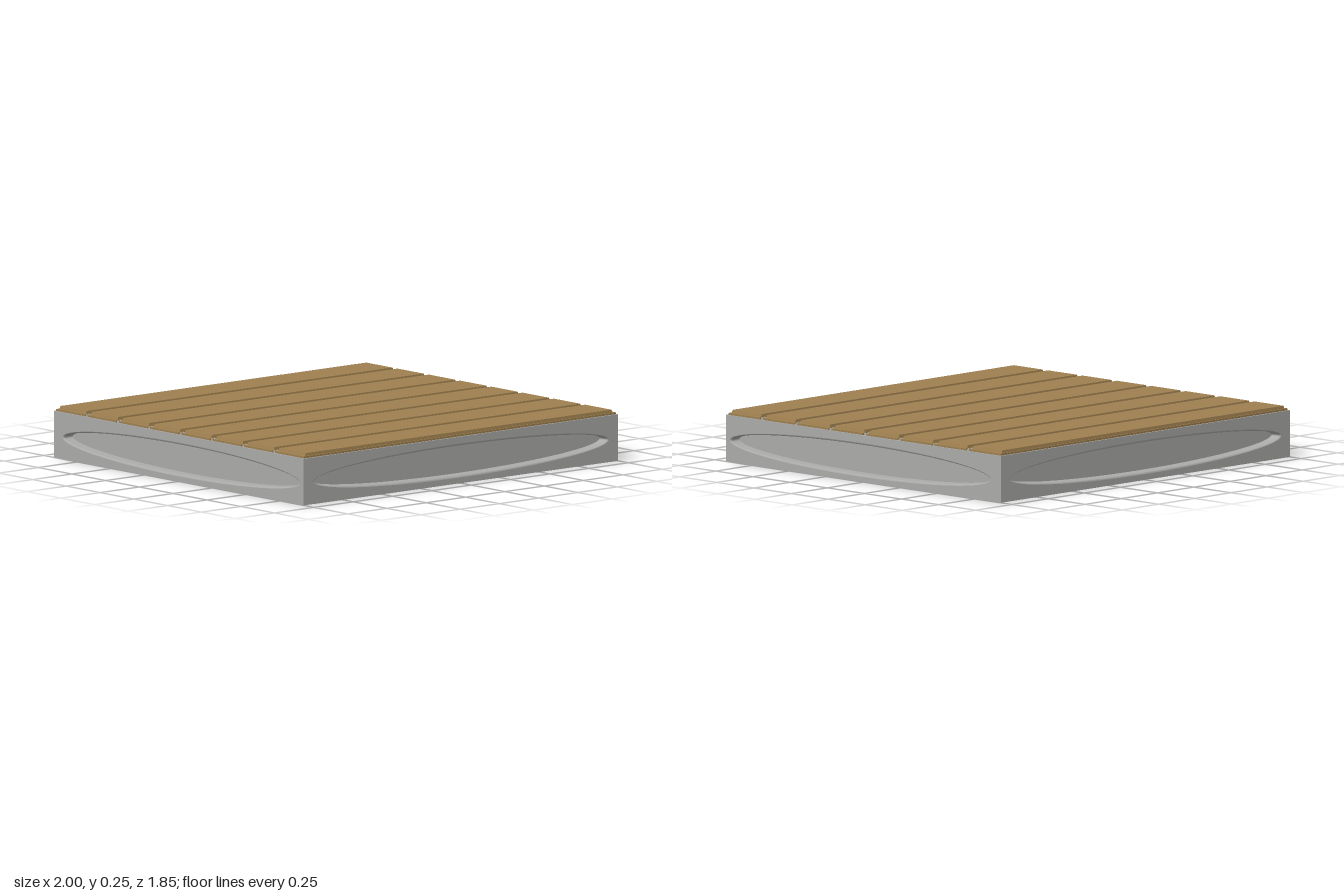
import * as THREE from 'three';
import { mergeGeometries } from 'three/addons/utils/BufferGeometryUtils.js';

const HALF_X = 1, HALF_Z = 0.925, WALL_TOP = 0.228, WALL = 0.015;
const PITCH = 0.2315, PLANKS = 8;
const RY = 0.083;                     // vertical radius of the ovals
// Recess profile from the wall face inwards: [inset, z]
const RECESS = [[0, 0], [0.005, -0.0015], [0.0085, -0.005], [0.01, -0.01], [0.012, -0.055]];

// Flat wall with an oval opening; its outer face lies on z = 0
function wallGeometry(half, cx, cy, rx) {
  const s = new THREE.Shape();
  s.moveTo(-half, 0);
  s.lineTo(half, 0);
  s.lineTo(half, WALL_TOP);
  s.lineTo(-half, WALL_TOP);
  s.closePath();
  const hole = new THREE.Path();
  hole.absellipse(cx, cy, rx, RY, 0, Math.PI * 2, true);
  s.holes.push(hole);
  const g = new THREE.ExtrudeGeometry(s, { depth: WALL, bevelEnabled: false, curveSegments: 48 });
  return g.translate(0, 0, -WALL);
}

// Oval recess with a rounded lip and a flat floor, sunk behind z = 0
function recessGeometry(cx, cy, rx) {
  const last = RECESS.length - 1;
  const rim = new THREE.CylinderGeometry(1, 1, 1, 96, last, true).rotateX(Math.PI / 2);
  const p = rim.attributes.position;
  for (let i = 0; i < p.count; i++) {
    const [inset, z] = RECESS[Math.round((0.5 - p.getZ(i)) * last)];
    p.setXYZ(i, p.getX(i) * (rx - inset), p.getY(i) * (RY - inset), z);
  }
  // turn the rim to face into the recess
  const idx = rim.index.array;
  for (let i = 0; i < idx.length; i += 3) [idx[i], idx[i + 1]] = [idx[i + 1], idx[i]];
  rim.computeVertexNormals();
  const [inset, z] = RECESS[last];
  const floor = new THREE.CircleGeometry(1, 96);
  floor.scale(rx - inset, RY - inset, 1).translate(0, 0, z);
  return mergeGeometries([rim, floor]).translate(cx, cy, 0);
}

// Plank with a wide lower step and a narrower, chamfered top
function plankGeometry() {
  const y0 = 0.218, y1 = 0.237, y2 = 0.251, c = 0.005;
  const lower = new THREE.BoxGeometry(1.984, y1 - y0, 0.212).translate(0, (y0 + y1) / 2, 0);
  const upper = new THREE.BoxGeometry(1.954, y2 - y1, 0.199).translate(0, (y1 + y2) / 2, 0);
  const p = upper.attributes.position;
  for (let i = 0; i < p.count; i++) {
    if (p.getY(i) < y2 - 0.001) continue;
    p.setX(i, p.getX(i) - Math.sign(p.getX(i)) * c);
    p.setZ(i, p.getZ(i) - Math.sign(p.getZ(i)) * c * 0.5);
  }
  const g = mergeGeometries([lower, upper]).toNonIndexed();
  g.computeVertexNormals();
  return g;
}

export function createModel() {
  const model = new THREE.Group();
  model.name = 'plankPlatform';
  const metal = new THREE.MeshStandardMaterial({ color: 0xaaaaa8, side: THREE.DoubleSide });
  metal.name = 'grey metal';
  const wood = new THREE.MeshStandardMaterial({ color: 0x9d7f4f });
  wood.name = 'brown wood';

  const add = (parent, name, geometry, material) => {
    const mesh = new THREE.Mesh(geometry, material);
    mesh.name = name;
    parent.add(mesh);
    return mesh;
  };

  // Four thin walls, each with a sunken oval
  const walls = [
    ['front', 0, HALF_X, HALF_Z, 0, 0.111, 0.94],
    ['left', Math.PI / 2, HALF_Z, HALF_X, -0.02, 0.107, 0.88],
    ['back', Math.PI, HALF_X, HALF_Z, 0, 0.111, 0.94],
    ['right', -Math.PI / 2, HALF_Z, HALF_X, 0.02, 0.107, 0.88],
  ];
  for (const [side, angle, half, distance, cx, cy, rx] of walls) {
    const wall = new THREE.Group();
    wall.name = side + 'Side';
    add(wall, side + 'Wall', wallGeometry(half, cx, cy, rx), metal);
    add(wall, side + 'OvalRecess', recessGeometry(cx, cy, rx), metal);
    wall.rotation.y = angle;
    wall.position.set(Math.sin(angle) * distance, 0, Math.cos(angle) * distance);
    model.add(wall);
  }

  // Deck planks
  const plank = plankGeometry();
  for (let i = 0; i < PLANKS; i++) {
    add(model, 'plank' + (i + 1), plank, wood).position.z = (i - (PLANKS - 1) / 2) * PITCH;
  }

  // Grey strips closing the gaps between planks
  const strip = new THREE.BoxGeometry(1.97, 0.016, 0.0195);
  for (let i = 1; i < PLANKS; i++) {
    add(model, 'gapStrip' + i, strip, metal).position.set(0, 0.2275, (i - PLANKS / 2) * PITCH);
  }
  return model;
}
